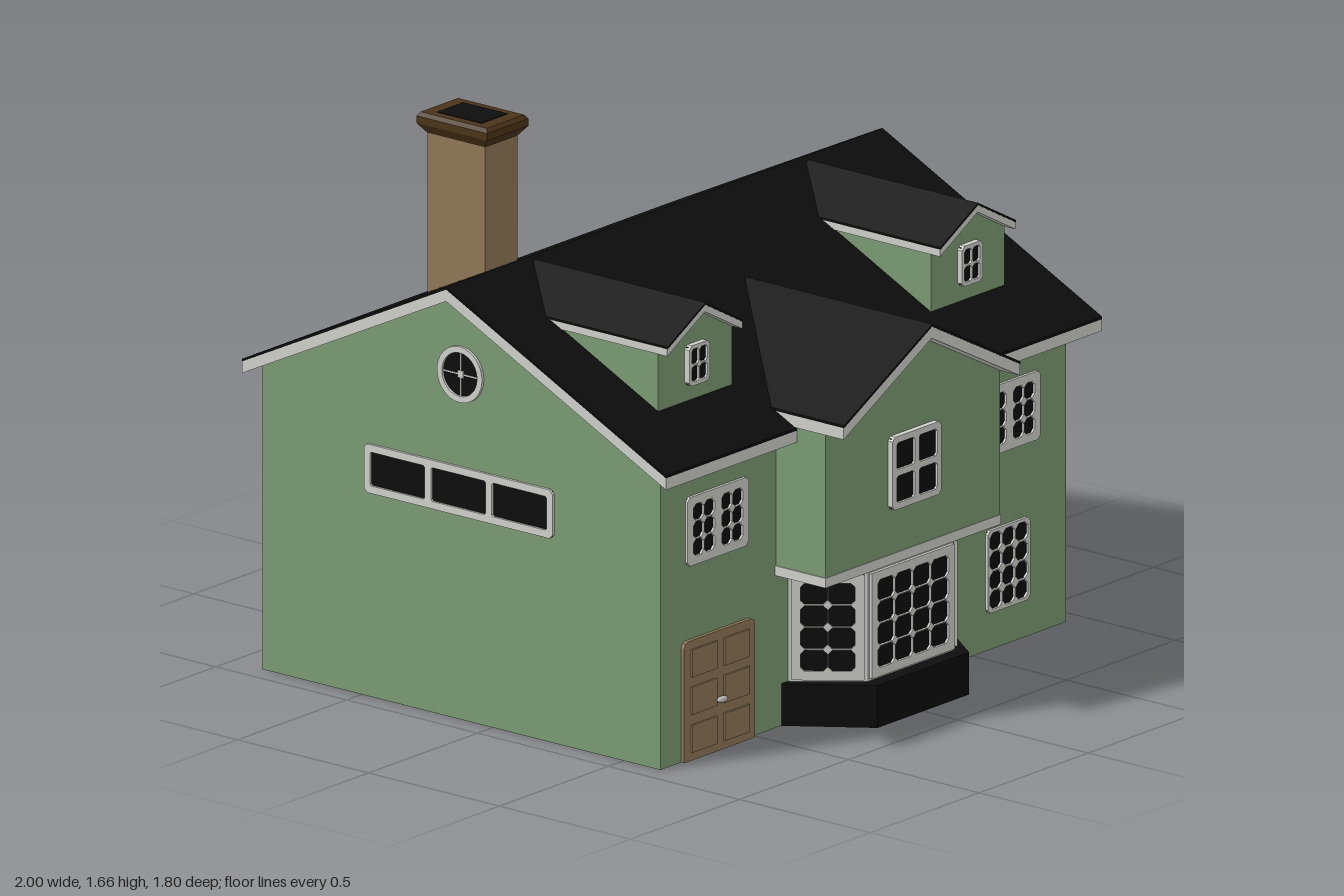
import * as THREE from 'three';

const mat = (name, color) => {
  const m = new THREE.MeshStandardMaterial({ color });
  m.name = name;
  return m;
};

export function createModel() {
  const house = new THREE.Group();
  house.name = 'house';
  const green = mat('wall green', 0x7b9b72), white = mat('trim white', 0xcfcfcb);
  const black = mat('roof black', 0x0d0d0d), brown = mat('wood brown', 0x8f7757);
  const dark = mat('cap brown', 0x4b3419), silver = mat('handle silver', 0xb4b4b4);

  const add = (parent, name, geo, material, x = 0, y = 0, z = 0) => {
    const m = new THREE.Mesh(geo, material);
    m.name = name;
    m.position.set(x, y, z);
    parent.add(m);
    return m;
  };
  const box = (w, h, d) => new THREE.BoxGeometry(w, h, d);
  const poly = (pts) => new THREE.Shape(pts.map(([x, y]) => new THREE.Vector2(x, y)));
  const extrude = (shape, depth) => new THREE.ExtrudeGeometry(shape, { depth, bevelEnabled: false, curveSegments: 24 });
  // Rectangle with cut corners
  const cutRect = (x, y, w, h, c) => [
    [x + c, y], [x + w - c, y], [x + w, y + c], [x + w, y + h - c],
    [x + w - c, y + h], [x + c, y + h], [x, y + h - c], [x, y + c]];
  // Pitched roof section, reaching a to the left and b to the right of the ridge
  const chevron = (a, b, peak, slope, t, depth) => extrude(poly([
    [-a, peak - slope * a - t], [0, peak - t], [b, peak - slope * b - t],
    [b, peak - slope * b], [0, peak], [-a, peak - slope * a]]), depth);
  // Gable-ended wall block
  const gableBlock = (half, y0, eave, peak, depth) => extrude(poly([
    [-half, y0], [half, y0], [half, eave], [0, peak], [-half, eave]]), depth);

  // Window: white frame with cut-corner openings over a thin dark pane
  function makeWindow(name, x, y, z, turn, w, h, o) {
    const { cols, rows, border = 0.02, gap = 0.003, cut = 0.012, sashes = 1, mullion = 0.03 } = o;
    const g = new THREE.Group();
    g.name = name;
    const frame = poly(cutRect(-w / 2, -h / 2, w, h, o.corner ?? 0.012));
    const sw = (w - 2 * border - (sashes - 1) * mullion) / sashes;
    const cw = (sw - (cols - 1) * gap) / cols;
    const ch = (h - 2 * border - (rows - 1) * gap) / rows;
    for (let s = 0; s < sashes; s++)
      for (let i = 0; i < cols; i++)
        for (let j = 0; j < rows; j++) {
          const px = -w / 2 + border + s * (sw + mullion) + i * (cw + gap);
          const py = -h / 2 + border + j * (ch + gap);
          frame.holes.push(poly(cutRect(px, py, cw, ch, cut)));
        }
    add(g, 'windowFrame', extrude(frame, 0.024), white, 0, 0, -0.012);
    add(g, 'glass', box(w - 0.01, h - 0.01, 0.009), black);
    g.position.set(x, y, z);
    g.rotation.y = turn;
    house.add(g);
  }

  // Front wall and back wall with garage opening
  add(house, 'frontWall', box(1.86, 0.95, 0.006), green, 0, 0.475, 0.637);
  add(house, 'backWall', extrude(poly([
    [-0.93, 0], [-0.305, 0], [-0.305, 0.48], [0.305, 0.48], [0.305, 0], [0.93, 0],
    [0.93, 0.95], [-0.93, 0.95]]), 0.022), green, 0, 0, -0.88);
  add(house, 'garageDoor', box(0.61, 0.48, 0.009), brown, 0, 0.24, -0.8625);
  add(house, 'garageHandle', box(0.2, 0.025, 0.025), silver, 0, 0.065, -0.878);
  makeWindow('backWindow', 0.335, 0.715, -0.886, Math.PI, 0.61, 0.15,
    { cols: 4, rows: 1, gap: 0.024, cut: 0.005 });

  // Side walls with strip window and round window
  for (const s of [1, -1]) {
    const wall = add(house, 'sideWall', gableBlock(0.76, 0, 0.945, 1.315, 0.006), green, s * 0.927 - 0.003, 0, -0.12);
    wall.rotation.y = Math.PI / 2;
    makeWindow('sideStripWindow', s * 0.927, 0.705, -0.125, s * Math.PI / 2, 0.72, 0.15,
      { cols: 3, rows: 1, gap: 0.024, border: 0.023, cut: 0.005 });
    const round = new THREE.Group();
    round.name = 'roundWindow';
    const ring = new THREE.Shape().absarc(0, 0, 0.086, 0, Math.PI * 2);
    ring.holes.push(new THREE.Path().absarc(0, 0, 0.067, 0, Math.PI * 2, true));
    add(round, 'roundFrame', extrude(ring, 0.024), white, 0, 0, -0.012);
    add(round, 'roundGlass', new THREE.CylinderGeometry(0.075, 0.075, 0.009, 32).rotateX(Math.PI / 2), black);
    add(round, 'crossBar', box(0.134, 0.004, 0.014), white);
    add(round, 'uprightBar', box(0.004, 0.134, 0.014), white);
    add(round, 'centreBlock', box(0.022, 0.022, 0.016), white);
    round.position.set(s * 0.927, 1.065, -0.12);
    round.rotation.y = s * Math.PI / 2;
    house.add(round);
  }

  // Main roof: white boards, dark covering, dark inner lining
  for (const [name, a, b, peak, t, width, m] of [
    ['mainRoofBoards', 0.84, 0.78, 1.342, 0.036, 2, white],
    ['mainRoofCover', 0.84, 0.78, 1.35, 0.008, 2, black],
    ['mainRoofLining', 0.75, 0.75, 1.3055, 0.004, 1.85, black]]) {
    const roof = add(house, name, chevron(a, b, peak, 0.488, t, width), m, -width / 2, 0, -0.12);
    roof.rotation.y = Math.PI / 2;
  }

  // Projecting front gable
  add(house, 'gableWall', gableBlock(0.4, 0.5, 0.95, 1.16, 0.19), green, 0, 0, 0.64);
  add(house, 'gableFloor', box(0.806, 0.03, 0.79), white, 0, 0.485, 0.437);
  add(house, 'gableRoofBoards', chevron(0.404, 0.404, 1.192, 0.53, 0.036, 0.72), white, 0, 0, 0.182);
  add(house, 'gableRoofCover', chevron(0.404, 0.404, 1.2, 0.53, 0.008, 0.72), black, 0, 0, 0.184);
  makeWindow('gableWindow', -0.002, 0.752, 0.836, 0, 0.225, 0.225,
    { cols: 2, rows: 2, gap: 0.02, border: 0.02, cut: 0.007 });

  // Bay window on a dark plinth
  const bayPlan = (back, front, depth) => poly([[-back, 0], [-front, -depth], [front, -depth], [back, 0]]);
  const prism = (shape, h) => extrude(shape, h).rotateX(-Math.PI / 2);
  add(house, 'bayBody', prism(bayPlan(0.345, 0.197, 0.182), 0.34), white, 0, 0.13, 0.64);
  add(house, 'bayPlinth', prism(bayPlan(0.375, 0.21, 0.23), 0.13), black, 0, 0, 0.64);
  makeWindow('bayFrontWindow', 0, 0.3, 0.82, 0, 0.38, 0.325,
    { cols: 4, rows: 4, border: 0.027, corner: 0.002 });
  const bayTurn = Math.atan2(0.182, 0.148);
  for (const s of [1, -1])
    makeWindow('baySideWindow', s * 0.272, 0.3, 0.732, s * bayTurn, 0.215, 0.325,
      { cols: 2, rows: 4, border: 0.027, corner: 0.002 });

  // Front wall windows
  for (const x of [-0.675, 0.663])
    makeWindow('upperWindow', x, 0.704, 0.637, 0, 0.28, 0.212,
      { cols: 2, rows: 3, border: 0.026, sashes: 2, mullion: 0.032 });
  makeWindow('lowerWindow', 0.659, 0.243, 0.637, 0, 0.195, 0.255,
    { cols: 3, rows: 4, border: 0.01, gap: 0.004, cut: 0.014 });

  // Front door with raised panels
  const door = new THREE.Group();
  door.name = 'frontDoor';
  add(door, 'doorLeaf', extrude(poly([
    [-0.163, 0], [0.163, 0], [0.163, 0.352], [0.157, 0.365], [0.145, 0.37],
    [-0.145, 0.37], [-0.157, 0.365], [-0.163, 0.352]]), 0.03), brown, 0, 0, -0.015);
  for (const x of [-0.075, 0.075])
    for (const y of [0.068, 0.185, 0.3])
      add(door, 'doorPanel', box(0.115, 0.085, 0.042), brown, x, y, 0);
  add(door, 'doorHandle', new THREE.SphereGeometry(0.012, 16, 10).scale(1.8, 0.8, 1), silver, 0, 0.16, 0.026);
  door.position.set(-0.672, 0, 0.637);
  house.add(door);

  // Roof dormers
  for (const x of [-0.615, 0.636]) {
    add(house, 'dormerWall', gableBlock(0.169, 1.03, 1.23, 1.32, 0.5), green, x, 0, 0.01);
    add(house, 'dormerRoofBoards', chevron(0.173, 0.173, 1.338, 0.55, 0.022, 0.65), white, x, 0, -0.102);
    add(house, 'dormerRoofCover', chevron(0.173, 0.173, 1.345, 0.55, 0.007, 0.65), black, x, 0, -0.1);
    makeWindow('dormerWindow', x, 1.153, 0.516, 0, 0.095, 0.125,
      { cols: 2, rows: 2, border: 0.012, gap: 0.005, cut: 0.007 });
  }

  // Chimney with flared cap: bottom size, top size, heights
  const frustum = (w0, d0, w1, d1, h) => {
    const g = box(1, h, 1), p = g.attributes.position;
    for (let i = 0; i < p.count; i++) {
      const up = p.getY(i) > 0;
      p.setXYZ(i, p.getX(i) * (up ? w1 : w0), p.getY(i), p.getZ(i) * (up ? d1 : d0));
    }
    g.computeVertexNormals();
    return g;
  };
  const cx = -0.405, cz = -0.515;
  add(house, 'chimneyStack', box(0.15, 0.6, 0.22), brown, cx, 1.3, cz);
  add(house, 'capFlare', frustum(0.15, 0.22, 0.19, 0.27, 0.03), dark, cx, 1.61, cz);
  add(house, 'capBand', box(0.19, 0.022, 0.27), dark, cx, 1.636, cz);
  add(house, 'capBevel', frustum(0.19, 0.27, 0.172, 0.252, 0.012), dark, cx, 1.653, cz);
  add(house, 'flueOpening', box(0.12, 0.004, 0.17), black, cx, 1.659, cz);

  return house;
}
